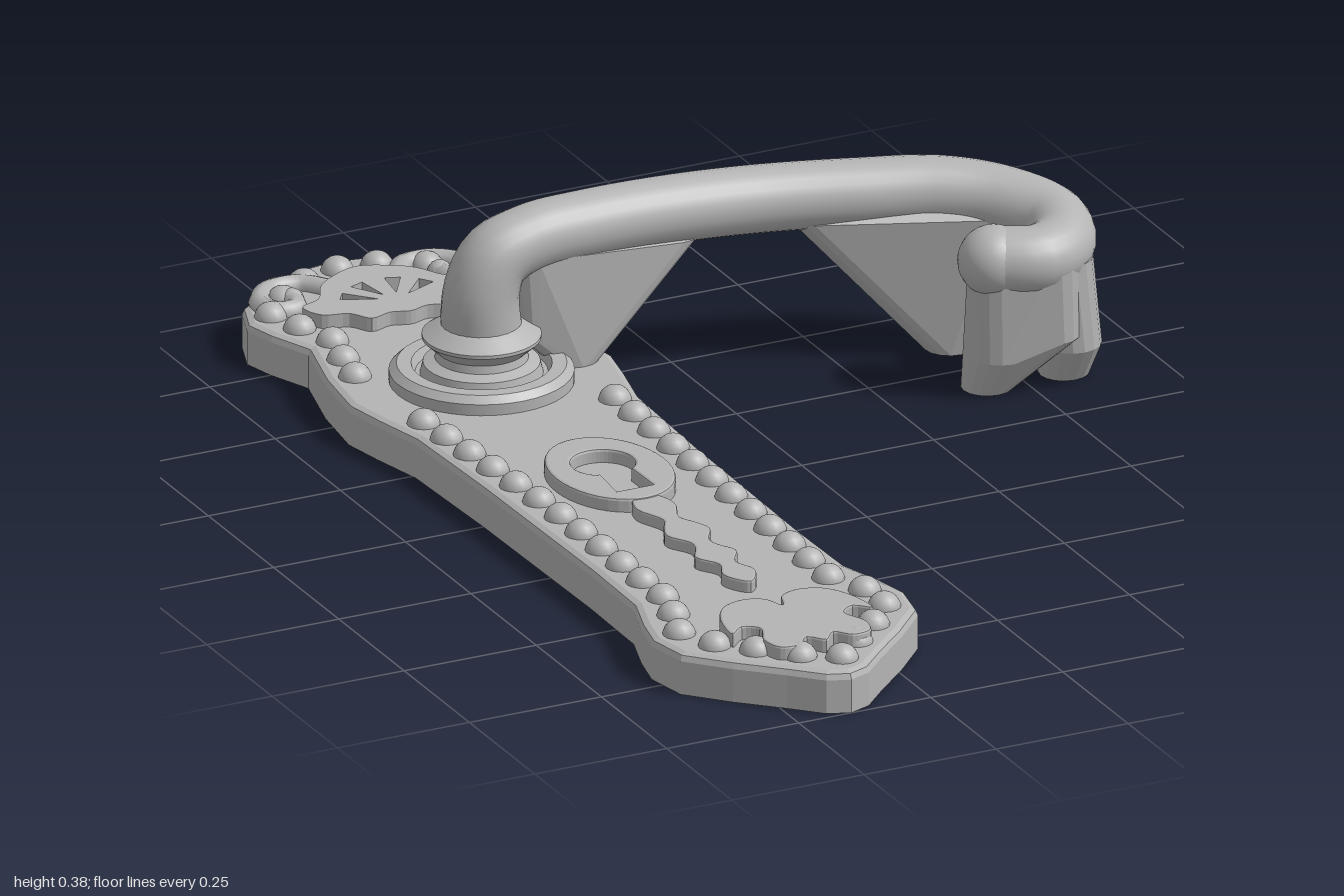
import * as THREE from 'three';
import { ConvexGeometry } from 'three/addons/geometries/ConvexGeometry.js';

const CX = -0.4;      // centre line of the plate
const HZ = -0.417;    // spindle position along the plate
const TOP = 0.075;    // top face of the plate

const V2 = (p) => new THREE.Vector2(p[0], p[1]);

// Closed symmetric outline from half-profile points [offset, z]
function mirroredShape(half, smooth) {
  const right = half.map(V2);
  const left = half.filter((p) => p[0] > 0.0001).map((p) => new THREE.Vector2(-p[0], p[1])).reverse();
  const pts = right.concat(left);
  if (!smooth) return new THREE.Shape(pts);
  const c = new THREE.CatmullRomCurve3(pts.map((p) => new THREE.Vector3(p.x, p.y, 0)), true, 'centripetal');
  return new THREE.Shape(c.getPoints(pts.length * 4).slice(0, -1).map((p) => new THREE.Vector2(p.x, p.y)));
}

// Lay an (x, z) shape flat with its upper face at height top
function flatExtrude(shape, top, depth, bevel = 0) {
  const g = new THREE.ExtrudeGeometry(shape, {
    depth: depth - bevel, bevelEnabled: bevel > 0, bevelThickness: bevel,
    bevelSize: bevel, bevelOffset: -bevel, bevelSegments: 2, curveSegments: 20,
  });
  g.rotateX(Math.PI / 2);
  g.translate(CX, top - bevel, 0);
  return g;
}

export function createModel() {
  const group = new THREE.Group();
  const metal = new THREE.MeshStandardMaterial({ color: 0xb4b4b4 });
  metal.name = 'plain grey metal';
  const add = (name, geo, parent = group) => {
    const m = new THREE.Mesh(geo, metal);
    m.name = name;
    parent.add(m);
    return m;
  };

  // Back plate, bevelled on top and flat underneath
  const plate = flatExtrude(mirroredShape([
    [0, -1], [0.06, -0.99], [0.165, -0.925], [0.225, -0.88], [0.25, -0.81], [0.235, -0.75], [0.203, -0.67],
    [0.235, -0.54], [0.25, -0.42], [0.235, -0.34], [0.212, -0.24], [0.203, 0], [0.197, 0.4], [0.2, 0.57],
    [0.225, 0.65], [0.24, 0.72], [0.225, 0.8], [0.16, 0.87], [0.09, 0.935], [0.04, 0.985], [0, 1],
  ]), TOP, TOP, 0.014);
  const pp = plate.attributes.position;
  for (let i = 0; i < pp.count; i++) pp.setY(i, Math.max(0, pp.getY(i)));
  plate.computeVertexNormals();
  add('backPlate', plate);

  // Beaded border
  const beads = new THREE.Group();
  beads.name = 'beadBorder';
  group.add(beads);
  const beadGeo = new THREE.SphereGeometry(0.029, 16, 12);
  const bead = (x, z) => add('bead', beadGeo, beads).position.set(x, TOP - 0.003, z);
  [[-0.41, -0.95], [-0.485, -0.925], [-0.55, -0.875], [-0.6, -0.82], [-0.58, -0.75], [-0.555, -0.675],
    [-0.573, -0.597], [-0.588, -0.522], [-0.34, -0.94], [-0.265, -0.9], [-0.212, -0.845], [-0.212, -0.77],
    [-0.235, -0.697], [-0.235, -0.623], [-0.214, -0.548], [-0.562, 0.645], [-0.588, 0.72], [-0.557, 0.793],
    [-0.505, 0.845], [-0.447, 0.9], [-0.387, 0.937], [-0.223, 0.692], [-0.223, 0.767], [-0.275, 0.83],
    [-0.333, 0.883]].forEach((p) => bead(...p));
  for (let i = 0; i < 12; i++) {
    const t = i / 11;
    bead(-0.573 + 0.028 * Math.min(1, t * 2), -0.29 + 0.86 * t);
    bead(-0.235 - 0.02 * t, -0.24 + 0.857 * t);
  }

  // Keyhole escutcheon
  const oval = new THREE.Shape().absellipse(0, 0.075, 0.103, 0.143, 0, Math.PI * 2, false);
  const key = new THREE.Path();
  key.moveTo(-0.034, 0.17);
  key.lineTo(-0.026, 0.09);
  key.absarc(0, 0.047, 0.055, 2.2, 0.94, false);
  key.lineTo(0.034, 0.17);
  key.closePath();
  oval.holes.push(key);
  add('keyholeSurround', flatExtrude(oval, 0.1, 0.03, 0.005));

  // Wavy drop below the keyhole
  add('wavyDrop', flatExtrude(mirroredShape([
    [0.02, 0.205], [0.036, 0.25], [0.016, 0.31], [0.03, 0.34], [0.041, 0.375], [0.018, 0.42], [0.022, 0.445],
    [0.039, 0.48], [0.016, 0.525], [0.03, 0.565], [0.02, 0.595], [0, 0.615],
  ], true), 0.097, 0.03, 0.004));

  // Leaf ornament at the lower end
  add('lowerLeaf', flatExtrude(mirroredShape([
    [0, 0.735], [0.015, 0.7], [0.05, 0.685], [0.095, 0.7], [0.125, 0.75], [0.133, 0.815], [0.105, 0.792],
    [0.08, 0.81], [0.097, 0.86], [0.085, 0.9], [0.05, 0.905], [0.025, 0.88], [0, 0.905],
  ], true), 0.1, 0.03, 0.004));

  // Shell ornament at the upper end, pierced with rays
  const fan = mirroredShape([
    [0, -0.9], [0.06, -0.875], [0.09, -0.85], [0.12, -0.8], [0.16, -0.78], [0.145, -0.735], [0.1, -0.72],
    [0.075, -0.685], [0.035, -0.695], [0, -0.685],
  ], true);
  [-0.95, -0.35, 0.35, 0.95].forEach((a) => {
    const at = (r, b) => new THREE.Vector2(Math.sin(b) * r, -0.735 - Math.cos(b) * r);
    fan.holes.push(new THREE.Path([at(0.035, a), at(0.1, a - 0.14), at(0.1, a + 0.14)]));
  });
  add('upperShell', flatExtrude(fan, 0.1, 0.03));

  // Scrolls beside the shell
  for (const s of [-1, 1]) {
    const pts = [[0.06, -0.87], [0.1, -0.915], [0.155, -0.915], [0.195, -0.87], [0.185, -0.825], [0.15, -0.825], [0.14, -0.86]]
      .map(([x, z]) => new THREE.Vector3(CX + s * x, TOP + 0.003, z));
    add('scroll', new THREE.TubeGeometry(new THREE.CatmullRomCurve3(pts), 28, 0.02, 8));
    add('scrollEnd', new THREE.SphereGeometry(0.022, 12, 8)).position.copy(pts[6]);
  }

  // Turned rosette and collar around the spindle
  const lathe = (name, pts) => add(name, new THREE.LatheGeometry(pts.map(V2), 40)).position.set(CX, 0, HZ);
  const rings = [[0.158, 0.06], [0.158, 0.095], [0.145, 0.107], [0.12, 0.107], [0.113, 0.09], [0.105, 0.09],
    [0.1, 0.11], [0.08, 0.118], [0.077, 0.132], [0.102, 0.155], [0.102, 0.161], [0.075, 0.178], [0.068, 0.182]];
  // Each band is separate so its edges stay crisp
  for (let i = 0; i < rings.length - 1; i++) lathe('rosetteBand', [rings[i], rings[i + 1]]);

  // Lever: a tube swept up from the spindle, along, and round into a hook
  const path = [[-0.4, 0.15, HZ], [-0.4, 0.24, HZ], [-0.373, 0.293, -0.42], [-0.31, 0.315, -0.425],
    [-0.2, 0.318, -0.432], [-0.04, 0.314, -0.435], [0.13, 0.305, -0.427], [0.3, 0.298, -0.393],
    [0.43, 0.293, -0.355], [0.52, 0.28, -0.3], [0.58, 0.262, -0.215], [0.56, 0.25, -0.14],
    [0.5, 0.246, -0.108], [0.43, 0.246, -0.135]].map((p) => new THREE.Vector3(...p));
  const curve = new THREE.CatmullRomCurve3(path, false, 'centripetal');
  const N = 90, R = 24;
  const tube = new THREE.TubeGeometry(curve, N, 0.06, R);
  const tp = tube.attributes.position, v = new THREE.Vector3();
  for (let i = 0; i <= N; i++) {
    const c = curve.getPointAt(i / N);
    const k = 0.98 + 0.2 * Math.max(0, 1 - (i / N) / 0.14);
    for (let j = 0; j <= R; j++) {
      const n = i * (R + 1) + j;
      v.fromBufferAttribute(tp, n).sub(c).multiplyScalar(k).add(c);
      tp.setXYZ(n, v.x, v.y, v.z);
    }
  }
  add('lever', tube);
  add('hookEnd', new THREE.SphereGeometry(0.062, 24, 16)).position.copy(path[13]);

  // Tapering props that carry the lever: hulls between level discs [x, y, z, radius]
  const prop = (name, discs) => {
    const pts = [];
    for (const [x, y, z, r] of discs) {
      for (let i = 0; i < 16; i++) {
        const a = i / 16 * Math.PI * 2;
        pts.push(new THREE.Vector3(x + Math.cos(a) * r, y, z + Math.sin(a) * r));
      }
    }
    add(name, new ConvexGeometry(pts));
  };
  prop('innerProp', [[-0.22, 0.07, -0.425, 0.036], [-0.3, 0.14, -0.425, 0.03], [-0.31, 0.29, -0.425, 0.045],
    [-0.03, 0.268, -0.435, 0.045]]);
  prop('outerProp', [[0.455, 0, -0.355, 0.045], [0.225, 0.262, -0.41, 0.045], [0.43, 0.275, -0.355, 0.052],
    [0.515, 0.26, -0.305, 0.052]]);
  prop('bendProp', [[0.58, 0, -0.17, 0.044], [0.575, 0.07, -0.13, 0.052], [0.555, 0.235, -0.125, 0.053],
    [0.577, 0.24, -0.215, 0.053], [0.525, 0.25, -0.29, 0.05]]);
  prop('hookProp', [[0.435, 0, -0.17, 0.045], [0.445, 0.07, -0.14, 0.055], [0.442, 0.235, -0.135, 0.055],
    [0.52, 0.235, -0.11, 0.055], [0.53, 0.1, -0.115, 0.05]]);
  return group;
}
